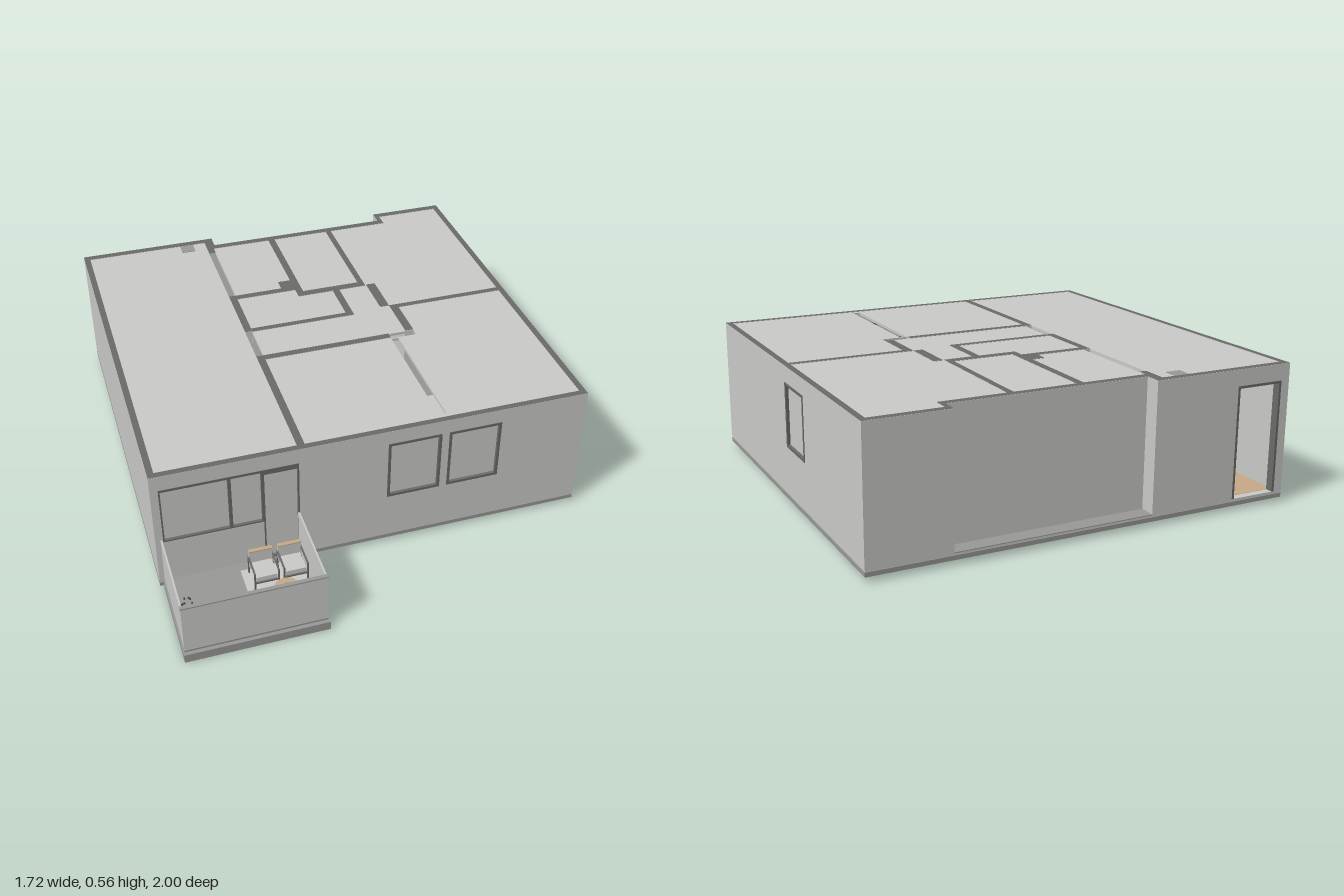
import * as THREE from 'three';

const mat = (name, color, side = THREE.FrontSide) => {
  const m = new THREE.MeshStandardMaterial({ color, side });
  m.name = name;
  return m;
};

export function createModel() {
  const root = new THREE.Group();
  root.name = 'apartment';
  const plaster = mat('plaster', 0xcbcbc9);
  const cut = mat('dark grey', 0x6b6b6a);
  const concrete = mat('concrete', 0x999997);
  const wood = mat('light wood', 0xc6aa86);
  const leaf = mat('near black', 0x3c3c3a);
  const BASE = 0.045, TOP = 0.555;

  const add = (name, geo, m, parent = root) => {
    const mesh = new THREE.Mesh(geo, m);
    mesh.name = name;
    parent.add(mesh);
    return mesh;
  };
  // Box given by its limits
  const box = (name, x0, x1, y0, y1, z0, z1, m, parent = root) => {
    const mesh = add(name, new THREE.BoxGeometry(x1 - x0, y1 - y0, z1 - z0), m, parent);
    mesh.position.set((x0 + x1) / 2, (y0 + y1) / 2, (z0 + z1) / 2);
    return mesh;
  };
  const rect = (T, a0, a1, b0, b1) => {
    const p = new T();
    p.moveTo(a0, b0);
    p.lineTo(a1, b0);
    p.lineTo(a1, b1);
    p.lineTo(a0, b1);
    p.closePath();
    return p;
  };
  // Upright panel in x and y with rectangular openings
  const panel = (u0, u1, openings, depth) => {
    const s = rect(THREE.Shape, u0, u1, BASE, TOP - 0.0005);
    openings.forEach(o => s.holes.push(rect(THREE.Path, ...o)));
    return new THREE.ExtrudeGeometry(s, { depth, bevelEnabled: false });
  };
  // Dark cut face on top of a wall
  const cap = (x0, x1, z0, z1) => {
    const g = new THREE.PlaneGeometry(x1 - x0, z1 - z0).rotateX(-Math.PI / 2);
    add('wallTop', g, cut).position.set((x0 + x1) / 2, TOP, (z0 + z1) / 2);
  };

  // Floor slab and floor finishes
  box('floorSlab', -0.86, 0.86, 0.02, 0.037, -1, 0.62, concrete);
  box('floorScreed', -0.857, 0.857, 0.037, BASE, -0.997, 0.617, plaster);
  box('recessFloor', -0.265, 0.535, BASE, BASE + 0.003, -1, -0.935, concrete);
  box('woodFloor', -0.835, -0.27, BASE, BASE + 0.004, -0.97, 0.595, wood);

  // Outer walls with openings
  const bigWindows = [[-0.83, -0.57, 0.24, 0.49], [-0.57, -0.445, 0.24, 0.49]];
  const smallWindows = [[0.045, 0.26, 0.235, 0.495], [0.29, 0.505, 0.235, 0.495]];
  const balconyDoor = [-0.445, -0.305, BASE + 0.003, 0.49];
  const sideWindow = [-0.415, -0.205, 0.235, 0.49];
  const frontHoles = [[-0.83, -0.445, 0.24, 0.49], ...smallWindows, balconyDoor];
  frontHoles[0][1] = -0.4455;
  add('frontWall', panel(-0.86, 0.86, frontHoles, 0.025), plaster).position.z = 0.595;
  add('rightWall', panel(-1, 0.595, [sideWindow], 0.025).rotateY(-Math.PI / 2), plaster).position.x = 0.86;
  add('backDoorWall', panel(-0.835, -0.265, [[-0.825, -0.625, BASE + 0.003, 0.49]], 0.03), plaster).position.z = -1;
  cap(-0.86, 0.86, 0.595, 0.62);
  cap(0.835, 0.86, -1, 0.595);
  cap(-0.835, -0.265, -1, -0.97);

  // Solid walls and partitions: x0, x1, z0, z1
  [
    [-0.86, -0.835, -1, 0.595],
    [-0.305, -0.265, -0.97, -0.905],
    [-0.305, -0.275, -0.905, -0.865],
    [-0.265, 0.535, -0.935, -0.905],
    [0.535, 0.555, -0.97, -0.905],
    [0.535, 0.835, -1, -0.97],
    [-0.305, -0.275, -0.475, -0.185],
    [-0.305, -0.275, 0, 0.595],
    [-0.015, 0.015, -0.905, -0.425],
    [-0.275, -0.07, -0.475, -0.445],
    [-0.07, -0.015, -0.53, -0.445],
    [-0.015, 0.29, -0.425, -0.39],
    [0.265, 0.29, -0.905, -0.425],
    [0.14, 0.17, -0.39, -0.205],
    [-0.275, 0.17, -0.205, -0.18],
    [0.295, 0.335, -0.395, -0.205],
    [0.335, 0.835, -0.205, -0.18],
    [0.335, 0.37, -0.18, 0],
    [-0.275, 0.26, 0, 0.03],
  ].forEach(([x0, x1, z0, z1]) => {
    box('wall', x0, x1, BASE, TOP - 0.0005, z0, z1, plaster);
    cap(x0, x1, z0, z1);
  });
  box('lowPartition', 0.262, 0.288, BASE, 0.5, 0.035, 0.595, plaster);
  box('duct', -0.42, -0.36, BASE, TOP, -0.97, -0.91, concrete);

  // Ceiling with slots above the doorways and the low partition (y of the shape is -z)
  const ceiling = new THREE.Shape();
  [[-0.85, -0.61], [0.85, -0.61], [0.85, 0.99], [0.545, 0.99], [0.545, 0.92], [-0.285, 0.92], [-0.285, 0.99], [-0.85, 0.99]]
    .forEach(([x, y], i) => (i ? ceiling.lineTo(x, y) : ceiling.moveTo(x, y)));
  ceiling.closePath();
  [[-0.305, -0.275, 0.475, 0.865], [-0.305, -0.275, 0, 0.185], [0.26, 0.29, -0.575, -0.04], [0.262, 0.37, -0.035, -0.002]]
    .forEach(r => ceiling.holes.push(rect(THREE.Path, ...r)));
  const ceilingGeo = new THREE.ExtrudeGeometry(ceiling, { depth: 0.012, bevelEnabled: false });
  add('ceiling', ceilingGeo.rotateX(-Math.PI / 2), plaster).position.y = 0.541;

  // Framed pane, facing +z with its outer face at z = 0
  const framed = (name, [x0, x1, y0, y1], t, topT = t) => {
    const g = new THREE.Group();
    g.name = name;
    box('frameLeft', x0, x0 + t, y0, y1, -0.022, 0.002, cut, g);
    box('frameRight', x1 - t, x1, y0, y1, -0.022, 0.002, cut, g);
    box('frameTop', x0 + t, x1 - t, y1 - topT, y1, -0.022, 0.002, cut, g);
    box('frameBottom', x0 + t, x1 - t, y0, y0 + t, -0.022, 0.002, cut, g);
    box('pane', x0 + t, x1 - t, y0 + t, y1 - topT, -0.018, -0.01, plaster, g);
    root.add(g);
    return g;
  };
  smallWindows.forEach(w => { framed('frontWindow', w, 0.011).position.z = 0.62; });
  bigWindows.forEach(w => { framed('balconyWindow', w, 0.006, 0.01).position.z = 0.62; });
  framed('balconyDoor', balconyDoor, 0.006, 0.022).position.z = 0.62;
  const side = framed('sideWindow', [0.205, 0.415, 0.235, 0.49], 0.011);
  side.rotation.y = Math.PI / 2;
  side.position.x = 0.86;

  // Back doorway frame and the kitchen behind it
  box('doorFrameLeft', -0.635, -0.625, BASE + 0.003, 0.49, -1.0, -0.968, cut);
  box('doorFrameRight', -0.825, -0.815, BASE + 0.003, 0.49, -1.0, -0.968, cut);
  box('doorFrameTop', -0.815, -0.635, 0.48, 0.49, -1.0, -0.968, cut);
  box('kitchenCabinet', -0.56, -0.43, BASE, 0.23, -0.96, -0.6, plaster);
  box('kitchenWorktop', -0.565, -0.425, 0.23, 0.245, -0.965, -0.595, wood);

  // Balcony slab and parapet
  box('balconySlab', -0.845, -0.3, 0, 0.037, 0.62, 1, concrete);
  box('balconyFloor', -0.84, -0.305, 0.037, BASE, 0.62, 0.985, concrete);
  box('parapetFront', -0.84, -0.305, BASE, 0.25, 0.972, 0.982, plaster);
  box('parapetLeft', -0.84, -0.833, BASE, 0.25, 0.62, 0.972, plaster);
  box('parapetRight', -0.312, -0.305, BASE, 0.25, 0.62, 0.972, plaster);
  box('handrail', -0.842, -0.303, 0.25, 0.255, 0.969, 0.985, concrete);

  // Balcony furniture
  box('rug', -0.555, -0.314, BASE, BASE + 0.004, 0.66, 0.945, plaster);
  for (const x of [-0.48, -0.367]) {
    const chair = new THREE.Group();
    chair.name = 'chair';
    box('seat', -0.04, 0.04, 0.085, 0.11, 0.69, 0.775, plaster, chair);
    box('back', -0.046, 0.046, 0.085, 0.16, 0.676, 0.688, plaster, chair);
    box('backRail', -0.046, 0.046, 0.16, 0.164, 0.674, 0.69, wood, chair);
    for (const s of [-0.046, 0.046]) {
      box('armrest', s - 0.003, s + 0.003, 0.13, 0.136, 0.676, 0.782, cut, chair);
      for (const z of [0.679, 0.779]) box('leg', s - 0.003, s + 0.003, 0.049, 0.13, z - 0.003, z + 0.003, cut, chair);
    }
    box('frontRail', -0.046, 0.046, 0.085, 0.091, 0.776, 0.782, cut, chair);
    chair.position.x = x;
    root.add(chair);
  }
  const disc = (name, r, y0, y1, m) =>
    add(name, new THREE.CylinderGeometry(r, r, y1 - y0, 32), m).position.set(-0.425, (y0 + y1) / 2, 0.865);
  disc('tableTop', 0.05, 0.115, 0.122, wood);
  disc('tablePost', 0.008, 0.049, 0.115, cut);
  disc('tableCup', 0.01, 0.122, 0.136, cut);

  // Planter with leaves
  box('planter', -0.83, -0.77, BASE, 0.12, 0.8, 0.96, concrete);
  for (let i = 0; i < 24; i++) {
    const l = add('leaf', new THREE.IcosahedronGeometry(0.005, 0), leaf);
    l.position.set(-0.8 + 0.023 * Math.sin(i * 2.4), 0.123 + 0.004 * (i % 4), 0.81 + i * 0.006);
  }
  return root;
}
